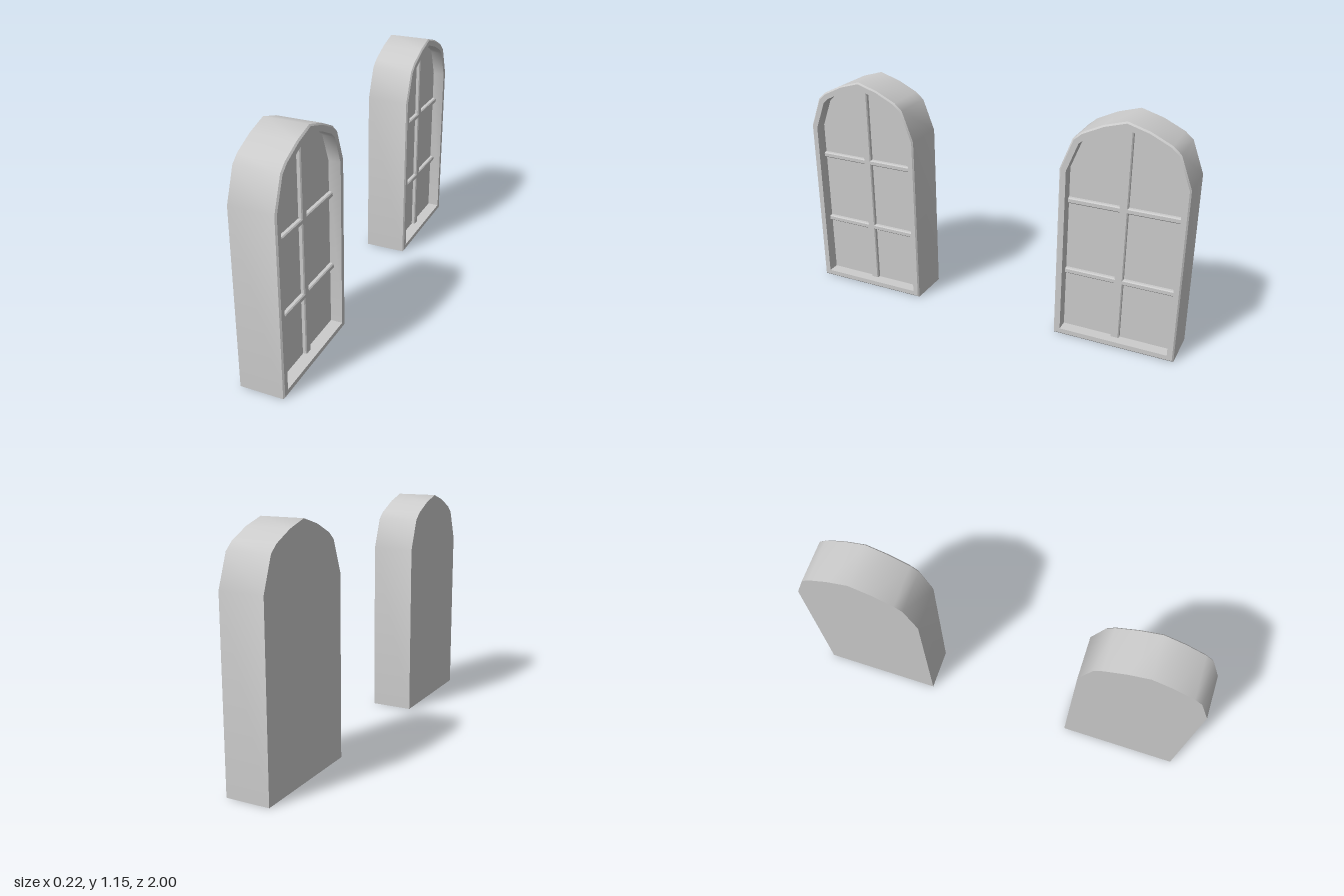
import * as THREE from 'three';
import { toCreasedNormals } from 'three/addons/utils/BufferGeometryUtils.js';

const BACK = -0.11, FRONT = 0.11, PANE = 0.05, BAR_FRONT = 0.07;
const material = new THREE.MeshStandardMaterial({ color: 0xcccccc });

// Closed arched outline, counter-clockwise, mirrored from its right half (foot to apex)
function archOutline(half) {
  const left = half.slice(0, -1).reverse().map(([x, y]) => [-x, y]);
  return [...half, ...left];
}

const outer = archOutline([[0.305, 0], [0.305, 0.885], [0.247, 1.04], [0.207, 1.075], [0.107, 1.123], [0, 1.155]]);
const rim = archOutline([[0.298, 0.007], [0.298, 0.884], [0.241, 1.035], [0.203, 1.068], [0.104, 1.116], [0, 1.147]]);
const inner = archOutline([[0.272, 0.03], [0.272, 0.878], [0.217, 1.02], [0.187, 1.046], [0.097, 1.089], [0, 1.12]]);

// Skin joining a series of outlines, each at its own depth
function loft(sections) {
  const positions = [], index = [], n = sections[0][0].length;
  for (const [outline, z] of sections) for (const [x, y] of outline) positions.push(x, y, z);
  for (let r = 0; r < sections.length - 1; r++) {
    for (let i = 0; i < n; i++) {
      const j = (i + 1) % n;
      const a = r * n + i, b = r * n + j, c = b + n, d = a + n;
      index.push(a, b, c, a, c, d);
    }
  }
  const geometry = new THREE.BufferGeometry();
  geometry.setAttribute('position', new THREE.Float32BufferAttribute(positions, 3));
  geometry.setIndex(index);
  return toCreasedNormals(geometry, 0.65);
}

function flat(outline) {
  return new THREE.ShapeGeometry(new THREE.Shape(outline.map(([x, y]) => new THREE.Vector2(x, y))));
}

// Glazing bar with chamfered front edges, running up +y from the origin
function barGeometry(width, length) {
  const w = width / 2, c = 0.005, z0 = PANE - 0.01;
  const profile = new THREE.Shape([
    [-w, -z0], [-w, -BAR_FRONT + c], [-w + c, -BAR_FRONT],
    [w - c, -BAR_FRONT], [w, -BAR_FRONT + c], [w, -z0],
  ].map(([x, y]) => new THREE.Vector2(x, y)));
  return new THREE.ExtrudeGeometry(profile, { depth: length, bevelEnabled: false }).rotateX(-Math.PI / 2);
}

function addMesh(group, name, geometry) {
  const mesh = new THREE.Mesh(geometry, material);
  mesh.name = name;
  group.add(mesh);
  return mesh;
}

function createWindow(name) {
  const group = new THREE.Group();
  group.name = name;

  // Deep frame: outer wall, chamfered rim, front face and recess wall
  addMesh(group, 'frame', loft([
    [outer, BACK], [outer, FRONT - 0.007], [rim, FRONT], [inner, FRONT], [inner, PANE],
  ]));
  addMesh(group, 'backPanel', flat(outer).rotateY(Math.PI)).position.z = BACK;
  addMesh(group, 'pane', flat(inner)).position.z = PANE;

  // One upright and two cross bars
  addMesh(group, 'verticalBar', barGeometry(0.042, 1.085)).position.y = 0.033;
  for (const y of [0.342, 0.715]) {
    const bar = addMesh(group, 'crossBar', barGeometry(0.027, 0.54));
    bar.rotation.z = Math.PI / 2;
    bar.position.set(0.27, y, 0);
  }
  return group;
}

export function createModel() {
  const model = new THREE.Group();
  model.name = 'archedWindows';
  // A matching pair, both facing +x
  for (const [name, z] of [['frontWindow', 0.695], ['backWindow', -0.695]]) {
    const unit = createWindow(name);
    unit.rotation.y = Math.PI / 2;
    unit.position.z = z;
    model.add(unit);
  }
  return model;
}
